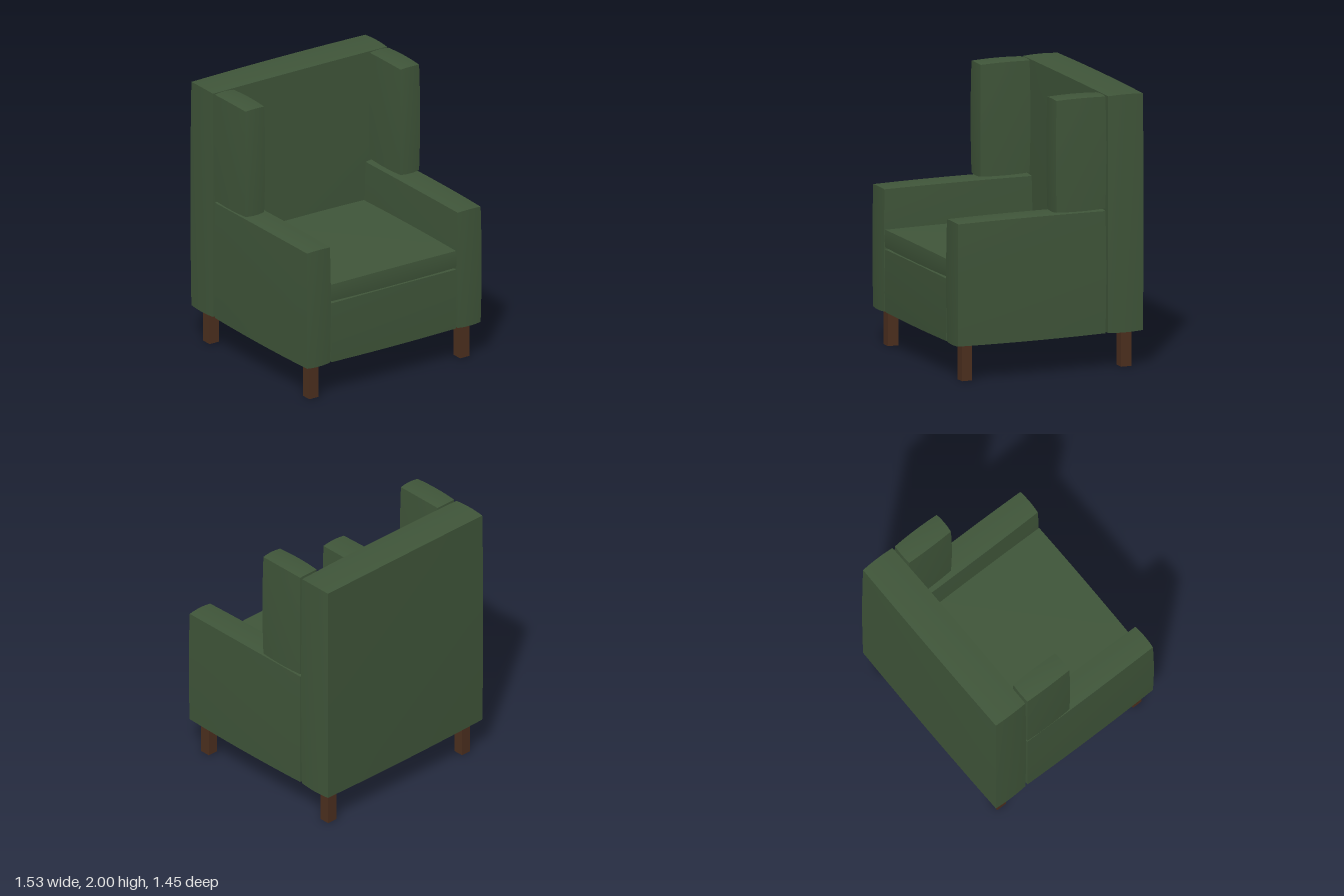
import * as THREE from 'three';

// Upholstered block between two corners, with every face and edge slightly puffed out
function paddedBox(min, max, puff = 0.01) {
  const lo = new THREE.Vector3(...min), hi = new THREE.Vector3(...max);
  const size = hi.clone().sub(lo), mid = hi.clone().add(lo).multiplyScalar(0.5);
  const geo = new THREE.BoxGeometry(size.x, size.y, size.z, 10, 10, 10);
  const pos = geo.attributes.position;
  for (let i = 0; i < pos.count; i++) {
    const u = pos.getX(i) / (size.x / 2);
    const v = pos.getY(i) / (size.y / 2);
    const w = pos.getZ(i) / (size.z / 2);
    const swell = (a, b) => puff * (1 - (a * a + b * b) / 2);
    pos.setXYZ(
      i,
      mid.x + pos.getX(i) + u * swell(v, w),
      mid.y + pos.getY(i) + v * swell(u, w),
      mid.z + pos.getZ(i) + w * swell(u, v)
    );
  }
  geo.computeVertexNormals();
  return geo;
}

export function createModel() {
  const chair = new THREE.Group();
  chair.name = 'wingArmchair';

  const fabric = new THREE.MeshStandardMaterial({ color: 0x40563a });
  fabric.name = 'greenFabric';
  const wood = new THREE.MeshStandardMaterial({ color: 0x4d301f });
  wood.name = 'brownWood';

  const add = (name, geo, mat) => {
    const mesh = new THREE.Mesh(geo, mat);
    mesh.name = name;
    chair.add(mesh);
    return mesh;
  };

  // Back, seat base and cushion
  add('backrest', paddedBox([-0.755, 0.268, -0.718], [0.755, 1.99, -0.45]), fabric);
  add('seatBase', paddedBox([-0.54, 0.268, -0.428], [0.54, 0.722, 0.715], 0.007), fabric);
  add('seatCushion', paddedBox([-0.54, 0.738, -0.428], [0.54, 0.866, 0.715], 0.007), fabric);

  for (const [side, s] of [['left', 1], ['right', -1]]) {
    // Arms and the wings standing on their rear ends
    const span = (a, b) => (s > 0 ? [a, b] : [-b, -a]);
    const [a0, a1] = span(0.555, 0.754);
    add(side + 'Arm', paddedBox([a0, 0.268, -0.428], [a1, 1.157, 0.715]), fabric);
    const [w0, w1] = span(0.592, 0.754);
    add(side + 'Wing', paddedBox([w0, 1.177, -0.428], [w1, 1.99, -0.048]), fabric);

    // Square legs
    for (const [end, z] of [['Front', 0.62], ['Back', -0.617]]) {
      add(side + end + 'Leg', new THREE.BoxGeometry(0.08, 0.256, 0.08), wood)
        .position.set(s * 0.655, 0.128, z);
    }
  }
  return chair;
}
